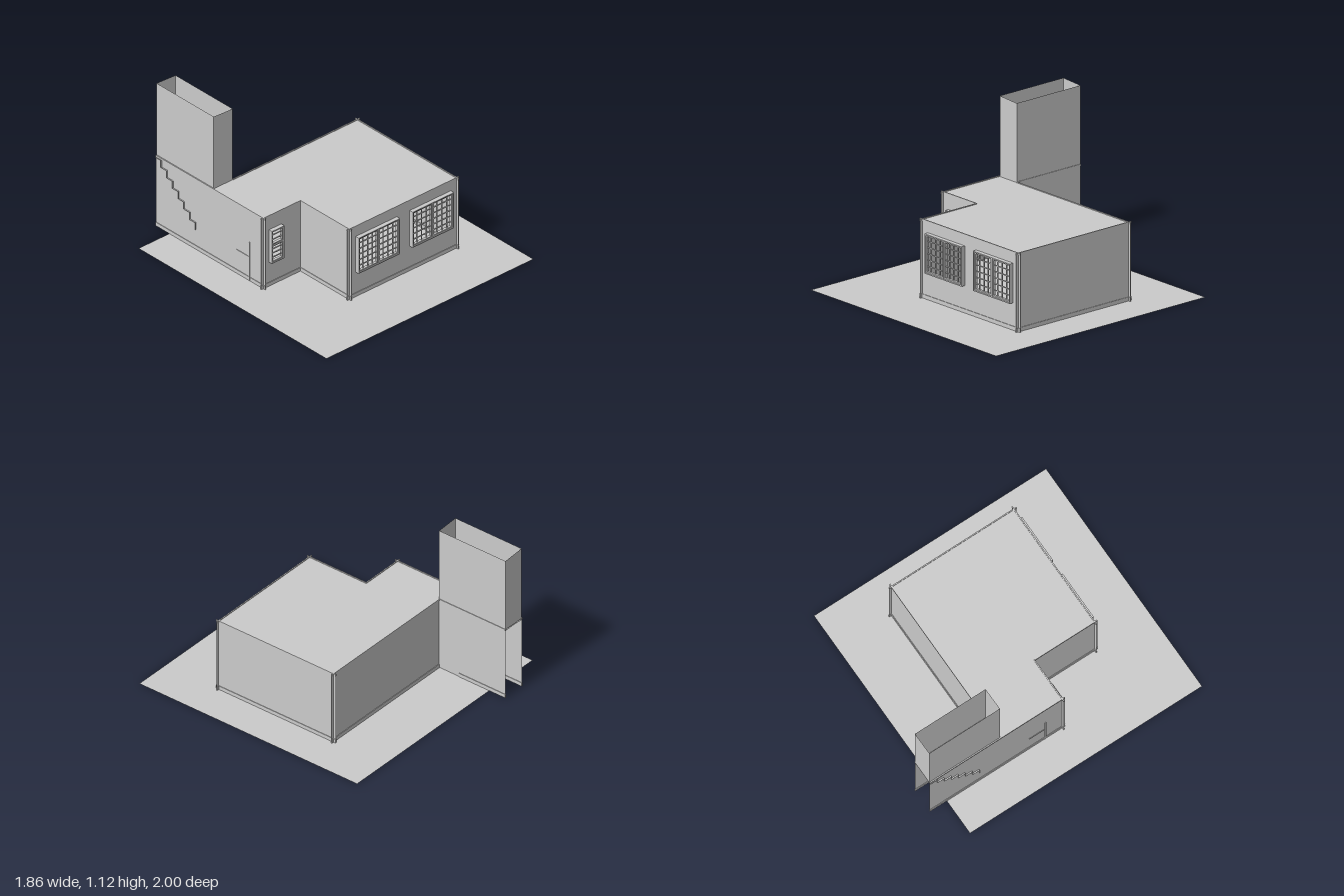
import * as THREE from 'three';

const mat = new THREE.MeshStandardMaterial({ color: 0xcccccc, side: THREE.DoubleSide, flatShading: true });
const H = 0.553; // wall height
const FIN = 0.021; // how far walls run past the outer corners

function add(parent, name, geometry, x = 0, y = 0, z = 0) {
  const mesh = new THREE.Mesh(geometry, mat);
  mesh.name = name;
  mesh.position.set(x, y, z);
  parent.add(mesh);
  return mesh;
}

// Box given by its limits
function bar(parent, name, x0, x1, y0, y1, z0, z1) {
  return add(parent, name, new THREE.BoxGeometry(x1 - x0, y1 - y0, z1 - z0),
    (x0 + x1) / 2, (y0 + y1) / 2, (z0 + z1) / 2);
}

function polygon(points) {
  return new THREE.Shape(points.map(([x, y]) => new THREE.Vector2(x, y)));
}

function rect(x0, x1, y0, y1) {
  return [[x0, y0], [x1, y0], [x1, y1], [x0, y1]];
}

// Thin wall from a to b in plan, with window holes measured along it
function wall(parent, name, a, b, holes = [], trimEnd = null) {
  const dx = b[0] - a[0], dz = b[1] - a[1], length = Math.hypot(dx, dz);
  const group = new THREE.Group();
  group.name = name;
  group.position.set(a[0], 0, a[1]);
  group.rotation.y = -Math.atan2(dz, dx);
  parent.add(group);
  const shape = polygon(rect(0, length, 0, H));
  holes.forEach(h => shape.holes.push(polygon(rect(...h).reverse())));
  add(group, name + 'Panel', new THREE.ShapeGeometry(shape));
  bar(group, 'baseboard', 0, trimEnd ?? length, 0, 0.028, -0.004, 0.004);
  bar(group, 'crownTrim', 0, length, H - 0.012, H + 0.002, -0.004, 0.004);
  return group;
}

// Rectangular frame of four bars
function frame(parent, name, x0, x1, y0, y1, w, z0, z1) {
  bar(parent, name, x0, x0 + w, y0, y1, z0, z1);
  bar(parent, name, x1 - w, x1, y0, y1, z0, z1);
  bar(parent, name, x0 + w, x1 - w, y0, y0 + w, z0, z1);
  bar(parent, name, x0 + w, x1 - w, y1 - w, y1, z0, z1);
}

// Framed sash with a grid of thin bars
function sash(parent, x0, x1, y0, y1, cols, rows, z) {
  frame(parent, 'sashFrame', x0, x1, y0, y1, 0.009, z + 0.004, z + 0.024);
  for (let i = 1; i < cols; i++) {
    const x = x0 + (x1 - x0) * i / cols;
    bar(parent, 'verticalBar', x - 0.003, x + 0.003, y0, y1, z + 0.01, z + 0.018);
  }
  for (let j = 1; j < rows; j++) {
    const y = y0 + (y1 - y0) * j / rows;
    bar(parent, 'horizontalBar', x0, x1, y - 0.003, y + 0.003, z + 0.01, z + 0.018);
  }
}

export function createModel() {
  const model = new THREE.Group();
  model.name = 'house';

  // Ground sheet
  const ground = add(model, 'ground', new THREE.PlaneGeometry(1.86, 1.865), 0, 0, 0.0675);
  ground.rotation.x = -Math.PI / 2;

  // L-shaped room
  const L = -0.65, R = 0.646, B = -0.433, F = 0.55, NX = -0.317, NZ = 0.065;
  const SX = -0.475, SB = -1;
  const front = [NX - FIN, F];
  const bigWindows = [[-0.26, 0.11], [0.225, 0.595]];
  wall(model, 'frontWall', front, [R + FIN, F],
    bigWindows.map(([a, b]) => [a - front[0], b - front[0], 0.19, 0.47]));
  wall(model, 'leftWall', [R, F + FIN], [R, B - FIN]);
  wall(model, 'backWall', [R + FIN, B], [SX, B]);
  wall(model, 'rightWall', [L, SB], [L, NZ + FIN]);
  wall(model, 'notchSideWall', [NX, NZ], [NX, F + FIN]);
  const notchStart = L - FIN;
  wall(model, 'notchFrontWall', [notchStart, NZ], [NX, NZ],
    [[-0.6 - notchStart, -0.488 - notchStart, 0.185, 0.44]]);
  wall(model, 'stairwellInnerWall', [SX, SB], [SX, B], [], 0.4);

  // Flat roof, leaving the stairwell open
  const roof = add(model, 'roof', new THREE.ShapeGeometry(polygon(
    [[L, -B], [L, -NZ], [NX, -NZ], [NX, -F], [R, -F], [R, -B]])), 0, H - 0.003, 0);
  roof.rotation.x = -Math.PI / 2;

  // Two double windows on the front
  bigWindows.forEach(([a, b]) => {
    const window = new THREE.Group();
    window.name = 'doubleWindow';
    model.add(window);
    frame(window, 'windowFrame', a, b, 0.19, 0.47, 0.008, F - 0.004, F + 0.031);
    const mid = (a + b) / 2;
    bar(window, 'mullion', mid - 0.005, mid + 0.005, 0.198, 0.462, F - 0.002, F + 0.029);
    sash(window, a + 0.008, mid - 0.005, 0.198, 0.462, 4, 6, F);
    sash(window, mid + 0.005, b - 0.008, 0.198, 0.462, 4, 6, F);
  });

  // Narrow window beside the notch
  const narrow = new THREE.Group();
  narrow.name = 'narrowWindow';
  model.add(narrow);
  frame(narrow, 'windowFrame', -0.6, -0.488, 0.185, 0.44, 0.006, NZ - 0.004, NZ + 0.03);
  sash(narrow, -0.594, -0.494, 0.191, 0.321, 1, 4, NZ);
  sash(narrow, -0.594, -0.494, 0.327, 0.434, 1, 3, NZ);

  // Small fittings showing through the right wall
  bar(model, 'doorPost', L - 0.005, L + 0.005, 0, 0.3, -0.076, -0.066);
  bar(model, 'doorRail', L - 0.004, L + 0.004, 0.18, 0.186, -0.2, -0.07);

  // Stair sheet, descending from the back towards the room
  const steps = 10, run = (B - SB) / steps, rise = H / steps;
  for (let i = 0; i < steps; i++) {
    const z = SB + run * i, y = H - 0.012 - rise * i;
    const x0 = i < 7 ? L - 0.01 : L, width = SX - x0, cx = (SX + x0) / 2;
    const tread = add(model, 'stairTread', new THREE.PlaneGeometry(width, run), cx, y, z + run / 2);
    tread.rotation.x = -Math.PI / 2;
    const drop = Math.min(rise, y);
    add(model, 'stairRiser', new THREE.PlaneGeometry(width, drop), cx, y - drop / 2, z + run);
  }

  // Open-topped stair tower with a slightly sloping rim
  const shaft = new THREE.CylinderGeometry(Math.SQRT1_2, Math.SQRT1_2, 1, 4, 1, true, Math.PI / 4);
  const p = shaft.attributes.position;
  for (let i = 0; i < p.count; i++) {
    const right = p.getX(i) < 0;
    const top = right ? 1.117 : 1.107;
    p.setXYZ(i, right ? L + 0.004 : SX, p.getY(i) > 0 ? top : H - 0.003, p.getZ(i) < 0 ? SB : B);
  }
  shaft.computeVertexNormals();
  add(model, 'stairTower', shaft);

  return model;
}
